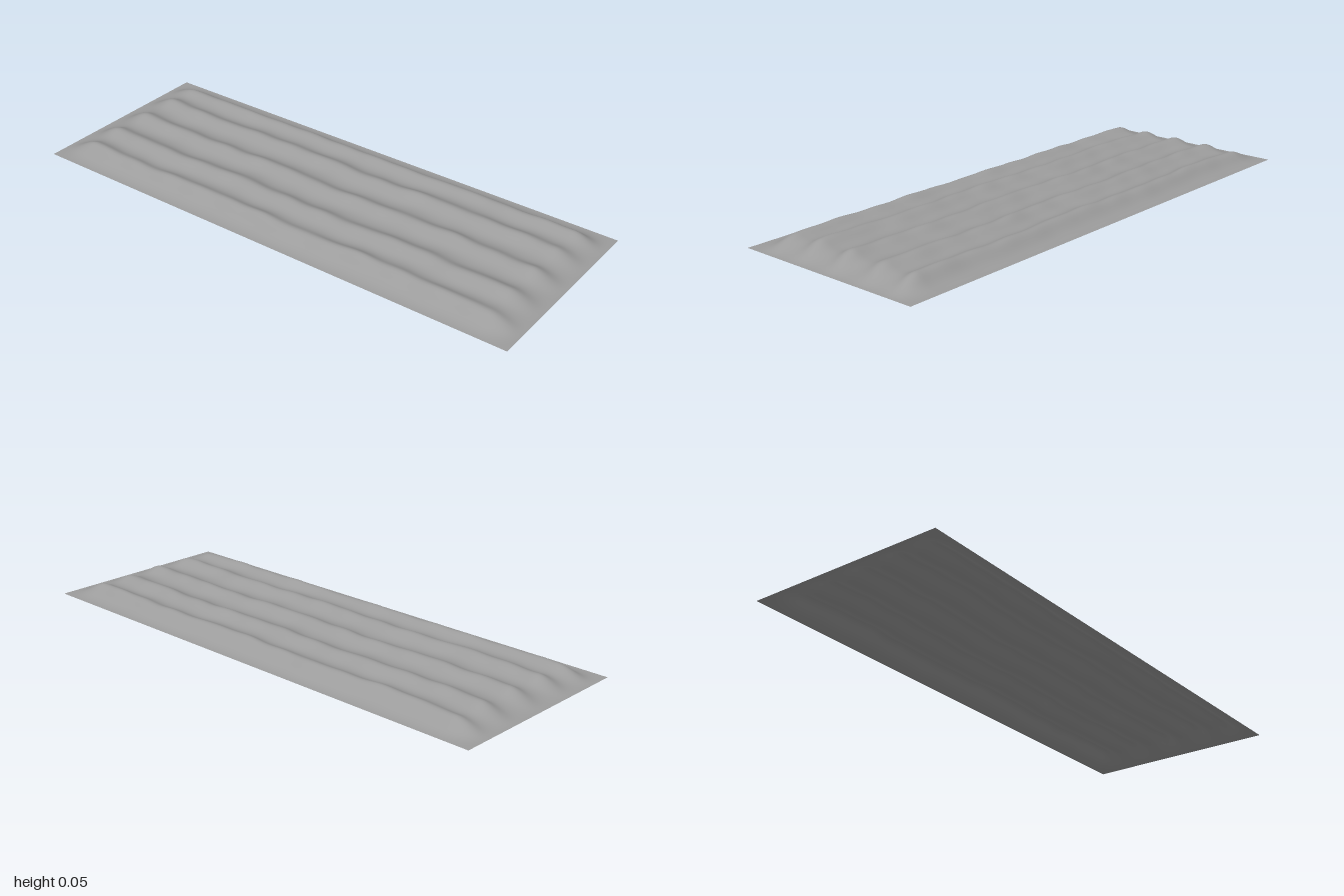
import * as THREE from 'three';

const HALF_X = 1, HALF_Z = 0.38;
const ridgeLines = [-0.29, -0.15, 0, 0.15, 0.29];

// Soft slope from the rim up to the full soil height
const rise = (edgeDistance, width) => THREE.MathUtils.smoothstep(edgeDistance, 0, width);

// Height of the bed: raised soil, five slightly wandering ridges, fine lumps
function soilHeight(x, z) {
  const wander = 0.005 * Math.sin(x * 9 + 0.6) + 0.002 * Math.sin(x * 31);
  let ridge = 0;
  ridgeLines.forEach((line, i) => {
    const d = (z - line - wander) / 0.04;
    const crest = 0.025 + 0.0015 * Math.sin(x * 17 + i * 2.1) + 0.001 * Math.sin(x * 43 + i);
    ridge += crest * Math.exp(-d * d);
  });
  const lumps = 0.0012 * Math.sin(x * 26 + z * 19) * Math.cos(z * 37 - x * 11);
  const fade = rise(HALF_X - Math.abs(x), 0.13) * rise(HALF_Z - Math.abs(z), 0.12);
  return Math.max(0, (0.025 + ridge + lumps) * fade);
}

export function createModel() {
  const group = new THREE.Group();
  group.name = 'ploughedField';

  const soil = new THREE.MeshStandardMaterial({ color: 0x9c9c9c, side: THREE.DoubleSide });
  soil.name = 'greySoil';

  // Open sheet of soil, displaced upwards
  const geometry = new THREE.PlaneGeometry(2 * HALF_X, 2 * HALF_Z, 200, 90);
  geometry.rotateX(-Math.PI / 2);
  const position = geometry.attributes.position;
  for (let i = 0; i < position.count; i++) {
    position.setY(i, soilHeight(position.getX(i), position.getZ(i)));
  }
  geometry.computeVertexNormals();

  const field = new THREE.Mesh(geometry, soil);
  field.name = 'furrowedSoil';
  group.add(field);
  return group;
}
